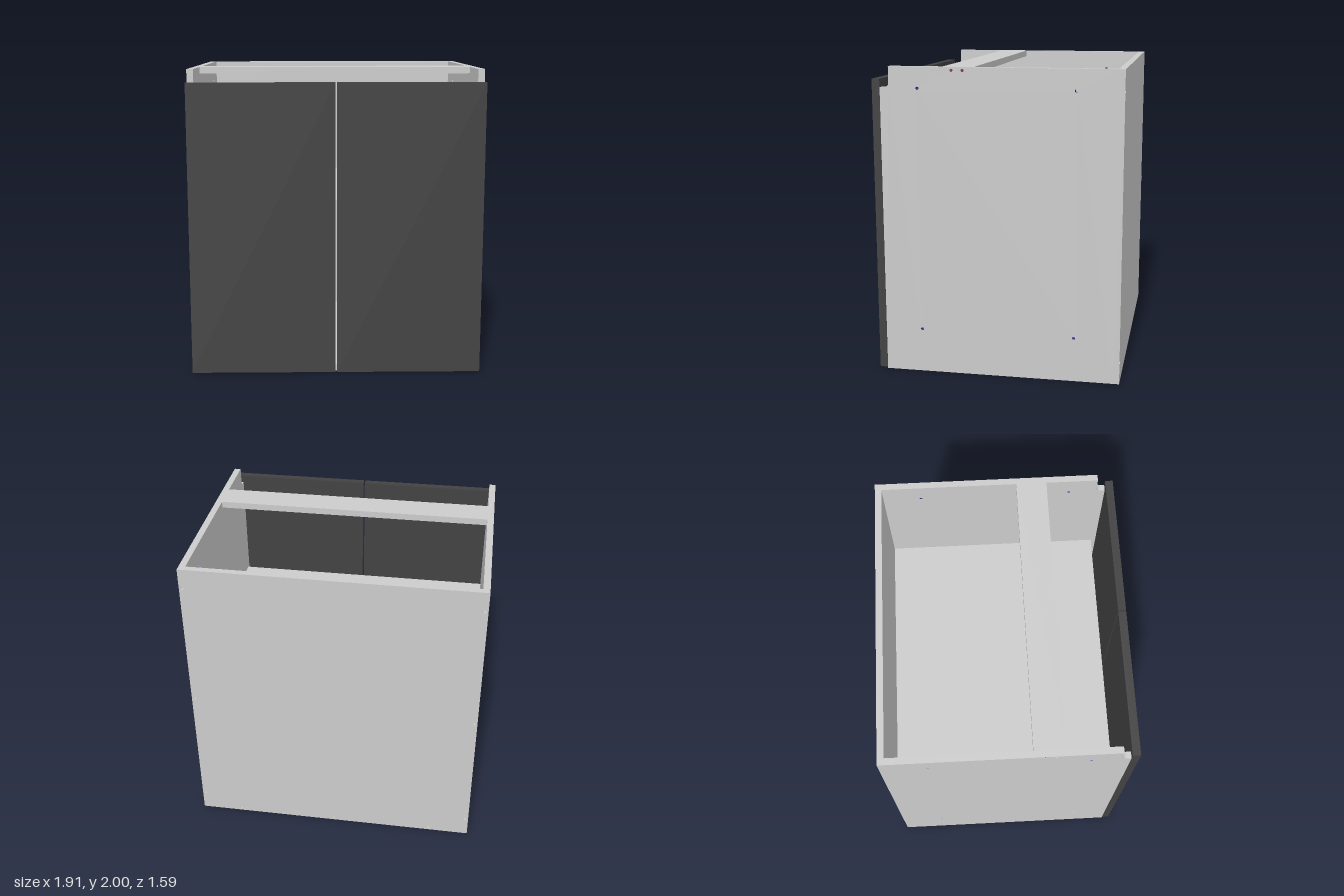
import * as THREE from 'three';

const W = 0.955, H = 2, T = 0.043;      // half width, height, board thickness
const BACK = -0.795, FRONT = 0.743;     // carcass depth range
const IN = W - T;                       // inner half width

const board = new THREE.MeshStandardMaterial({ color: 0xcccccc });
const doorPaint = new THREE.MeshStandardMaterial({ color: 0x424242 });
const redLining = new THREE.MeshStandardMaterial({ color: 0x7a3a46, side: THREE.DoubleSide });
const blueLining = new THREE.MeshStandardMaterial({ color: 0x2a2a90, side: THREE.DoubleSide });

function rect(x0, y0, x1, y1) {
  const s = new THREE.Shape();
  s.moveTo(x0, y0).lineTo(x1, y0).lineTo(x1, y1).lineTo(x0, y1).closePath();
  return s;
}

// Board cut from a shape, with round holes drilled through it
function drilled(shape, holes, r) {
  for (const [x, y] of holes) {
    const h = new THREE.Path();
    h.absarc(x, y, r, 0, Math.PI * 2, true);
    shape.holes.push(h);
  }
  return new THREE.ExtrudeGeometry(shape, { depth: T, bevelEnabled: false, curveSegments: 8 });
}

export function createModel() {
  const model = new THREE.Group();
  model.name = 'baseCabinet';

  const add = (name, geometry, material = board, parent = model) => {
    const m = new THREE.Mesh(geometry, material);
    m.name = name;
    parent.add(m);
    return m;
  };
  const box = (name, x0, x1, y0, y1, z0, z1, material) =>
    add(name, new THREE.BoxGeometry(x1 - x0, y1 - y0, z1 - z0), material)
      .position.set((x0 + x1) / 2, (y0 + y1) / 2, (z0 + z1) / 2);

  // Side panels: grip notch at the top front corner, shelf and rail holes
  const shelfHoles = [[0.5, 0.29], [0.5, 1.865], [-0.5, 0.29], [-0.5, 1.865]];
  const railHoles = [[0.28, 1.979], [0.21, 1.979]];
  for (const side of [1, -1]) {
    const s = new THREE.Shape();
    s.moveTo(BACK + T, T).lineTo(FRONT, T).lineTo(FRONT, 1.868).lineTo(0.715, 1.868);
    s.absarc(0.715, 1.898, 0.03, -Math.PI / 2, -Math.PI, true);
    s.lineTo(0.685, H).lineTo(BACK + T, H).closePath();
    const g = drilled(s, [...shelfHoles, ...railHoles], 0.01);
    g.rotateY(-Math.PI / 2).translate(side > 0 ? W : -IN, 0, 0);
    const group = new THREE.Group();
    group.name = side > 0 ? 'leftSide' : 'rightSide';
    model.add(group);
    add('sidePanel', g, board, group);
    const x = side * (W - T / 2);
    for (const [z, y] of shelfHoles) {
      const liner = new THREE.CylinderGeometry(0.0097, 0.0097, T * 0.9, 12, 1, true);
      add('holeLining', liner.rotateZ(Math.PI / 2).translate(x, y, z), blueLining, group);
    }
    for (const [z, y] of railHoles) {
      const plug = new THREE.CylinderGeometry(0.0097, 0.0097, T * 0.8, 12);
      add('railDowel', plug.rotateZ(Math.PI / 2).translate(x, y, z), redLining, group);
    }
  }

  // Back panel, screwed along both sides and the bottom
  const backHoles = [];
  for (const y of [0.14, 1, 1.865]) backHoles.push([W - 0.02, y], [0.02 - W, y]);
  for (const x of [-0.68, 0, 0.68]) backHoles.push([x, 0.02]);
  add('backPanel', drilled(rect(-W, 0, W, H), backHoles, 0.01).translate(0, 0, BACK));

  // Bottom panel with edge screws and four holes for each leg plate
  const edgeHoles = [], legHoles = [];
  for (const s of [1, -1]) {
    for (const z of [-0.62, 0, 0.62]) edgeHoles.push([s * (W - 0.02), z]);
    for (const x of [0.67, 0.845])
      for (const z of [-0.705, -0.53, 0.39, 0.565]) legHoles.push([s * x, z]);
  }
  add('bottomPanel', drilled(rect(-W, BACK + T, W, FRONT), [...edgeHoles, ...legHoles], 0.01)
    .rotateX(Math.PI / 2).translate(0, T, 0));
  for (const [x, z] of legHoles) {
    const liner = new THREE.CylinderGeometry(0.0097, 0.0097, T * 0.9, 12, 1, true);
    add('legHoleLining', liner.translate(x, T / 2, z), redLining);
  }

  // Shelf and top rail
  box('shelf', -IN, IN, 1.112, 1.155, BACK + T, 0.71);
  box('topRail', -IN, IN, H - T, H, 0.142, 0.342);

  // Pair of doors
  box('leftDoor', 0.005, W - 0.002, 0.008, 1.92, FRONT + 0.001, 0.795, doorPaint);
  box('rightDoor', 0.002 - W, -0.005, 0.008, 1.92, FRONT + 0.001, 0.795, doorPaint);

  return model;
}
